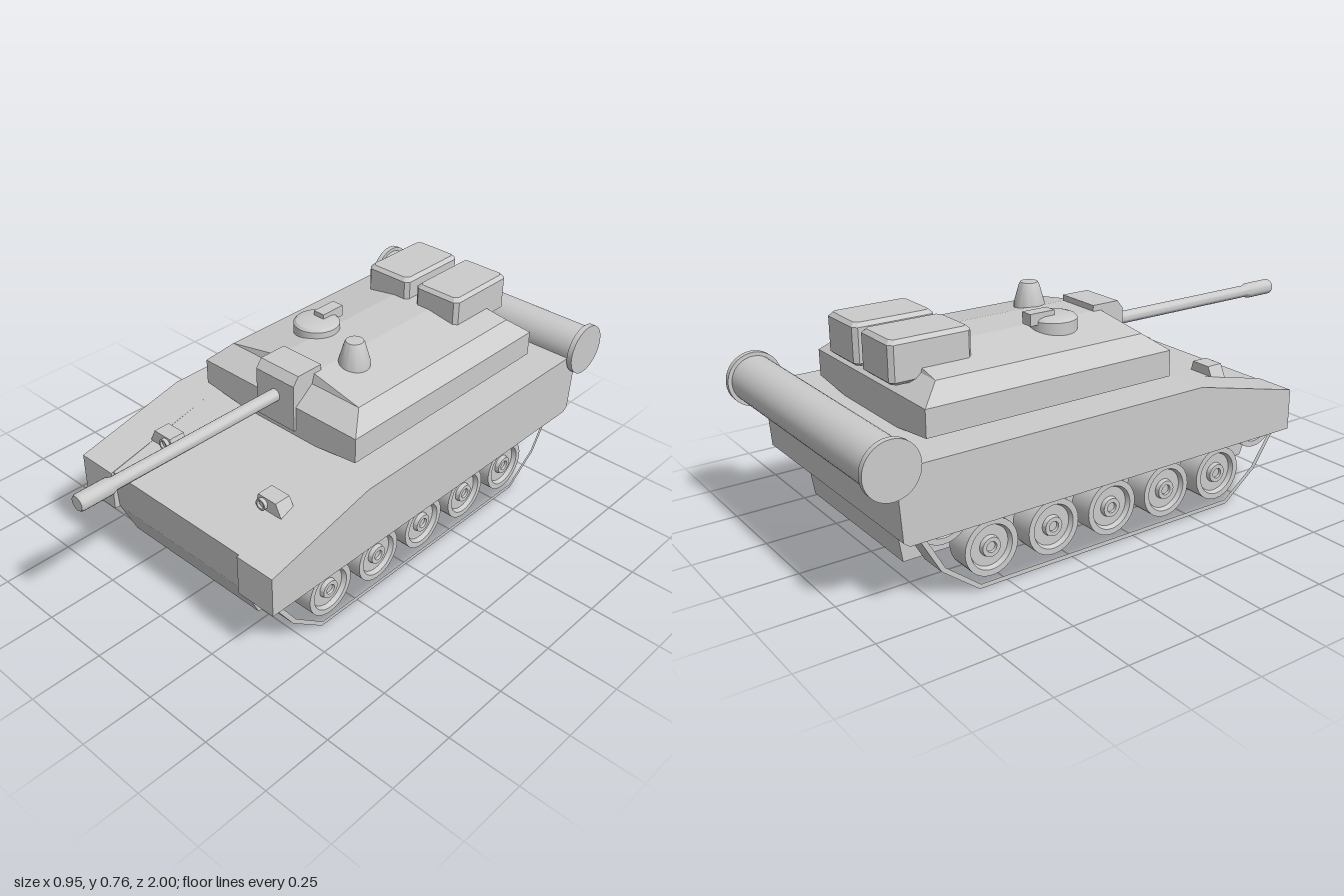
import * as THREE from 'three';
import { toCreasedNormals } from 'three/addons/utils/BufferGeometryUtils.js';

const material = new THREE.MeshStandardMaterial({ color: 0xcccccc });

function add(parent, name, geometry, x = 0, y = 0, z = 0) {
  const mesh = new THREE.Mesh(geometry, material);
  mesh.name = name;
  mesh.position.set(x, y, z);
  parent.add(mesh);
  return mesh;
}

const shapeOf = (pts) => new THREE.Shape(pts.map(([a, b]) => new THREE.Vector2(a, b)));

// Side profile of [z, y] points swept across from x0 to x1
function prism(profile, x0, x1, hole) {
  const shape = shapeOf(profile);
  if (hole) shape.holes.push(shapeOf(hole));
  const g = new THREE.ExtrudeGeometry(shape, { depth: x1 - x0, bevelEnabled: false });
  return g.rotateY(-Math.PI / 2).translate(x1, 0, 0);
}

// Stack of rectangles { y, x: half width, z0: back, z1: front, c: corner cut }
function loft(levels) {
  const rings = levels.map(({ y, x, z0, z1, c = 0 }) => {
    const pts = c
      ? [[x - c, z1], [x, z1 - c], [x, z0 + c], [x - c, z0], [c - x, z0], [-x, z0 + c], [-x, z1 - c], [c - x, z1]]
      : [[x, z1], [x, z0], [-x, z0], [-x, z1]];
    return pts.map(([px, pz]) => [px, y, pz]);
  });
  const n = rings[0].length;
  const pos = [];
  const tri = (...corners) => corners.forEach((p) => pos.push(...p));
  for (let k = 0; k < rings.length - 1; k++) {
    const lo = rings[k], hi = rings[k + 1];
    for (let i = 0; i < n; i++) {
      const j = (i + 1) % n;
      tri(lo[i], lo[j], hi[j]);
      tri(lo[i], hi[j], hi[i]);
    }
  }
  const bottom = rings[0], top = rings[rings.length - 1];
  for (let i = 1; i < n - 1; i++) {
    tri(top[0], top[i], top[i + 1]);
    tri(bottom[0], bottom[i + 1], bottom[i]);
  }
  const g = new THREE.BufferGeometry();
  g.setAttribute('position', new THREE.Float32BufferAttribute(pos, 3));
  g.computeVertexNormals();
  return g;
}

// Turned part from [radius, height] points, round but with crisp rims
function turned(profile, segments = 32) {
  const pts = profile.map(([r, h]) => new THREE.Vector2(r, h));
  return toCreasedNormals(new THREE.LatheGeometry(pts, segments), 0.5);
}

export function createModel() {
  const model = new THREE.Group();
  model.name = 'trackedVehicle';

  // Hull: central body with belly, and a sponson over each track
  const hull = new THREE.Group();
  hull.name = 'hull';
  model.add(hull);
  const deck = [[-0.87, 0.478], [0.25, 0.478]];
  add(hull, 'body', prism([[0.66, 0.38], [0.65, 0.235], [0.59, 0.105], [-0.795, 0.105], [-0.815, 0.235],
    [-0.85, 0.235], [-0.87, 0.25], [-0.88, 0.40], ...deck], -0.3, 0.3));
  const sponson = [[0.67, 0.38], [0.67, 0.235], [-0.85, 0.235], [-0.87, 0.25], [-0.88, 0.40], ...deck];
  add(hull, 'leftSponson', prism(sponson, 0.3, 0.45));
  add(hull, 'rightSponson', prism(sponson, -0.45, -0.3));

  // Running gear
  const trackOuter = [[0.66, 0.26], [0.55, 0.1], [0.42, 0], [-0.6, 0], [-0.73, 0.1], [-0.82, 0.26], [-0.78, 0.37], [0.62, 0.37]];
  const trackInner = [[0.64, 0.26], [0.537, 0.11], [0.415, 0.015], [-0.595, 0.015], [-0.717, 0.11], [-0.8, 0.26], [-0.765, 0.355], [0.605, 0.355]];
  const wheelGeometry = turned([[0, -0.045], [0.095, -0.045], [0.095, 0.045], [0.075, 0.045], [0.068, 0.03],
    [0.035, 0.03], [0.032, 0.045], [0.018, 0.045], [0.016, 0.037], [0, 0.037]]);
  for (const side of [1, -1]) {
    const gear = new THREE.Group();
    gear.name = side > 0 ? 'leftRunningGear' : 'rightRunningGear';
    model.add(gear);
    const xs = [side * 0.315, side * 0.413].sort((a, b) => a - b);
    add(gear, 'track', prism(trackOuter, xs[0], xs[1], trackInner));
    const wheel = (name, y, z) => {
      add(gear, name, wheelGeometry, side * 0.364, y, z).rotation.z = -side * Math.PI / 2;
    };
    for (let i = 0; i < 5; i++) wheel('roadWheel', 0.125, 0.375 - i * 0.2315);
    wheel('frontEndWheel', 0.28, 0.545);
    wheel('rearEndWheel', 0.28, -0.715);
  }

  // Headlights in wedge housings
  for (const side of [1, -1]) {
    const outline = [[0.31, 0.418], [0.285, 0.468], [0.208, 0.468], [0.195, 0.418]].map(([x, y]) => [x * side, y]);
    const housing = new THREE.ExtrudeGeometry(shapeOf(outline), { depth: 0.06, bevelEnabled: false });
    add(hull, 'headlightHousing', housing, 0, 0, 0.43);
    const lamp = turned([[0, 0], [0.02, 0], [0.02, 0.015], [0.014, 0.015], [0.011, 0.008], [0, 0.01]], 20);
    add(hull, 'headlight', lamp.rotateX(Math.PI / 2), side * 0.23, 0.443, 0.488);
  }

  // Fuel drum across the tail
  const drum = turned([[0, -0.475], [0.093, -0.475], [0.093, -0.455], [0.08, -0.455],
    [0.08, 0.455], [0.093, 0.455], [0.093, 0.475], [0, 0.475]], 40);
  add(model, 'fuelDrum', drum.rotateZ(-Math.PI / 2), 0, 0.491, -0.907);

  // Turret: undercut base, upright walls, sloped shoulders, gently pitched roof
  const turret = new THREE.Group();
  turret.name = 'turret';
  model.add(turret);
  add(turret, 'turretShell', loft([
    { y: 0.475, x: 0.145, z0: -0.725, z1: 0.198 },
    { y: 0.498, x: 0.345, z0: -0.725, z1: 0.198 },
    { y: 0.588, x: 0.345, z0: -0.725, z1: 0.198 },
    { y: 0.645, x: 0.288, z0: -0.655, z1: 0.122 },
    { y: 0.68, x: 0.08, z0: -0.645, z1: 0.112 },
  ]));

  // Gun
  add(turret, 'mantlet', prism([[0.08, 0.5], [0.208, 0.5], [0.208, 0.67], [0.185, 0.7], [0.08, 0.7]].reverse(), -0.085, 0.085));
  const gun = turned([[0, 0.19], [0.022, 0.19], [0.022, 0.87], [0.028, 0.885], [0.028, 0.992], [0.024, 1], [0, 1]], 24);
  add(turret, 'gunBarrel', gun.rotateX(Math.PI / 2), 0, 0.605, 0);

  // Stowage boxes on the turret rear
  for (const x of [0.109, -0.112]) {
    add(turret, 'stowageBox', loft([
      { y: 0.618, x: 0.08, z0: -0.742, z1: -0.486, c: 0.012 },
      { y: 0.63, x: 0.093, z0: -0.756, z1: -0.472, c: 0.014 },
      { y: 0.745, x: 0.093, z0: -0.756, z1: -0.472, c: 0.014 },
      { y: 0.758, x: 0.081, z0: -0.744, z1: -0.484, c: 0.012 },
    ]), x);
  }

  // Hatch with periscope, and domed sight
  add(turret, 'hatch', turned([[0, 0.64], [0.08, 0.64], [0.08, 0.702], [0.072, 0.71], [0.055, 0.715], [0, 0.715]]), -0.117, 0, -0.11);
  add(turret, 'periscope', new THREE.BoxGeometry(0.045, 0.04, 0.095), -0.117, 0.712, -0.168);
  add(turret, 'sight', turned([[0, 0.64], [0.053, 0.64], [0.053, 0.685], [0.035, 0.748], [0.03, 0.757], [0, 0.759]]), 0.126, 0, -0.035);

  return model;
}
